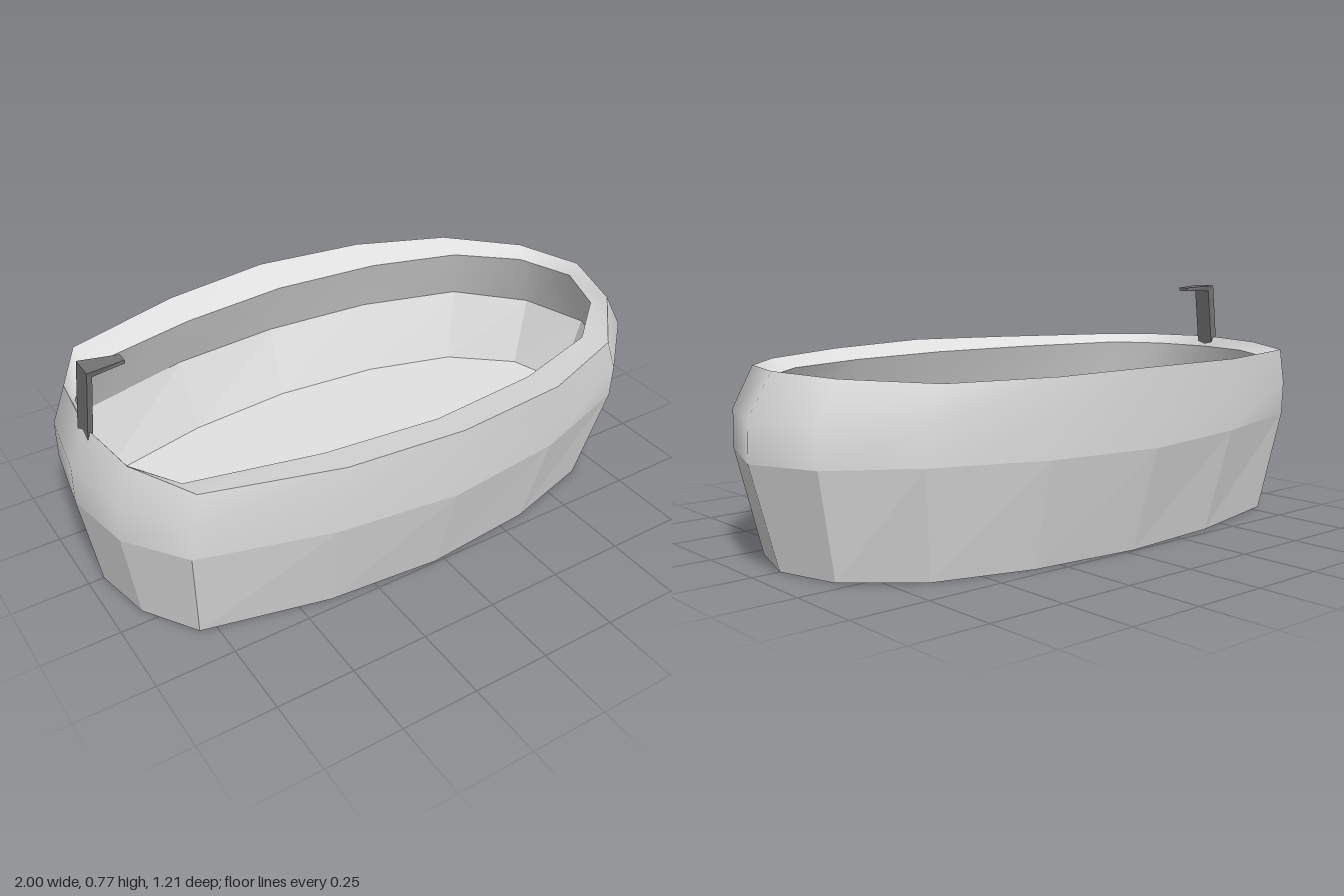
import * as THREE from 'three';

// Half outlines from the right end (-x) to the left end (+x), as x and z values
const BASE = {
  x: [-0.95, -0.91, -0.80, -0.40, -0.03, 0.34, 0.65, 0.85, 0.91],
  z: [0, 0.20, 0.37, 0.465, 0.495, 0.46, 0.37, 0.20, 0],
};
const WAIST = {
  x: [-1, -0.96, -0.83, -0.42, -0.03, 0.36, 0.71, 0.92, 1],
  z: [0, 0.24, 0.437, 0.55, 0.59, 0.55, 0.437, 0.235, 0],
};
const RIM = {
  x: [-0.94, -0.91, -0.80, -0.40, -0.03, 0.35, 0.66, 0.85, 0.92],
  z: [0, 0.24, 0.447, 0.567, 0.607, 0.567, 0.45, 0.235, 0],
};
const LIP = {
  x: [-0.925, -0.895, -0.80, -0.40, -0.03, 0.34, 0.64, 0.82, 0.89],
  z: [0, 0.195, 0.35, 0.44, 0.475, 0.44, 0.35, 0.19, 0],
};

// Mirror a half outline into a closed ring; heights may vary along it
function ring(half, y, sx = 1, sz = 1) {
  const n = half.x.length;
  const height = (i) => (Array.isArray(y) ? y[i] : y);
  const pts = half.x.map((x, i) => new THREE.Vector3(x * sx, height(i), half.z[i] * sz));
  for (let i = n - 2; i > 0; i--) pts.push(new THREE.Vector3(half.x[i] * sx, height(i), -half.z[i] * sz));
  return pts;
}

// Skin a list of rings, either smooth or faceted
function band(rings, smooth) {
  const n = rings[0].length;
  const index = [];
  for (let r = 0; r < rings.length - 1; r++) {
    for (let i = 0; i < n; i++) {
      const a = r * n + i, b = r * n + (i + 1) % n;
      index.push(a, b, b + n, a, b + n, a + n);
    }
  }
  let geo = new THREE.BufferGeometry().setFromPoints(rings.flat());
  geo.setIndex(index);
  if (!smooth) geo = geo.toNonIndexed();
  geo.computeVertexNormals();
  return geo;
}

// Flat plate filling a level ring, facing up or down
function plate(pts, up) {
  const shape = new THREE.Shape(pts.map((p) => new THREE.Vector2(p.x, p.z)));
  return new THREE.ShapeGeometry(shape)
    .rotateX(up ? -Math.PI / 2 : Math.PI / 2)
    .translate(0, pts[0].y, 0);
}

// Box whose corners are placed by a rule taking the signs of x, y and z
function cornerBox(rule) {
  const geo = new THREE.BoxGeometry(2, 2, 2).toNonIndexed();
  const p = geo.attributes.position;
  for (let i = 0; i < p.count; i++) p.setXYZ(i, ...rule(p.getX(i), p.getY(i), p.getZ(i)));
  geo.computeVertexNormals();
  return geo;
}

export function createModel() {
  const model = new THREE.Group();
  model.name = 'bathtub';
  const enamel = new THREE.MeshStandardMaterial({ color: 0xe2e2e2 });
  enamel.name = 'enamel';
  const metal = new THREE.MeshStandardMaterial({ color: 0x747474 });
  metal.name = 'dark metal';

  const add = (parent, name, geo, mat) => {
    const mesh = new THREE.Mesh(geo, mat);
    mesh.name = name;
    parent.add(mesh);
  };

  // Gently wavy heights of the waist and rim
  const waistY = [0.325, 0.33, 0.34, 0.337, 0.33, 0.335, 0.34, 0.33, 0.325];
  const rimY = [0.578, 0.573, 0.566, 0.57, 0.577, 0.57, 0.565, 0.573, 0.58];
  const base = ring(BASE, 0);
  const waist = ring(WAIST, waistY);
  const middle = ring(WAIST, 0.45, 0.997, 1.015);
  const rim = ring(RIM, rimY);
  const lip = ring(LIP, 0.54);
  const innerWaist = ring(WAIST, waistY, 0.975, 0.95);
  const floor = ring(BASE, 0.09, 0.985, 0.98);

  // Shell, from the underside up, over the rim and down to the floor
  const tub = new THREE.Group();
  tub.name = 'tub';
  add(tub, 'underside', plate(base, false), enamel);
  add(tub, 'lowerOuterWall', band([base, waist], false), enamel);
  add(tub, 'upperOuterWall', band([waist, middle, rim], true), enamel);
  add(tub, 'rim', band([rim, lip], true), enamel);
  add(tub, 'upperInnerWall', band([lip, innerWaist], true), enamel);
  add(tub, 'lowerInnerWall', band([innerWaist, floor], false), enamel);
  add(tub, 'floor', plate(floor, true), enamel);
  model.add(tub);

  // Tap: leaning post with a spout narrowing towards the tub
  const tap = new THREE.Group();
  tap.name = 'tap';
  add(tap, 'post', cornerBox((x, y, z) => {
    const outer = y > 0 ? -0.922 : -0.948;
    const inner = y > 0 ? -0.905 : -0.929;
    return [x > 0 ? inner : outer, y > 0 ? (x > 0 ? 0.75 : 0.77) : 0.54, z * (x > 0 ? 0.032 : 0.04)];
  }), metal);
  add(tap, 'spout', cornerBox((x, y, z) => {
    if (x > 0) return [-0.80, y > 0 ? 0.763 : 0.752, z * 0.018];
    return y > 0 ? [-0.922, 0.77, z * 0.04] : [-0.905, 0.75, z * 0.032];
  }), metal);
  model.add(tap);

  return model;
}
